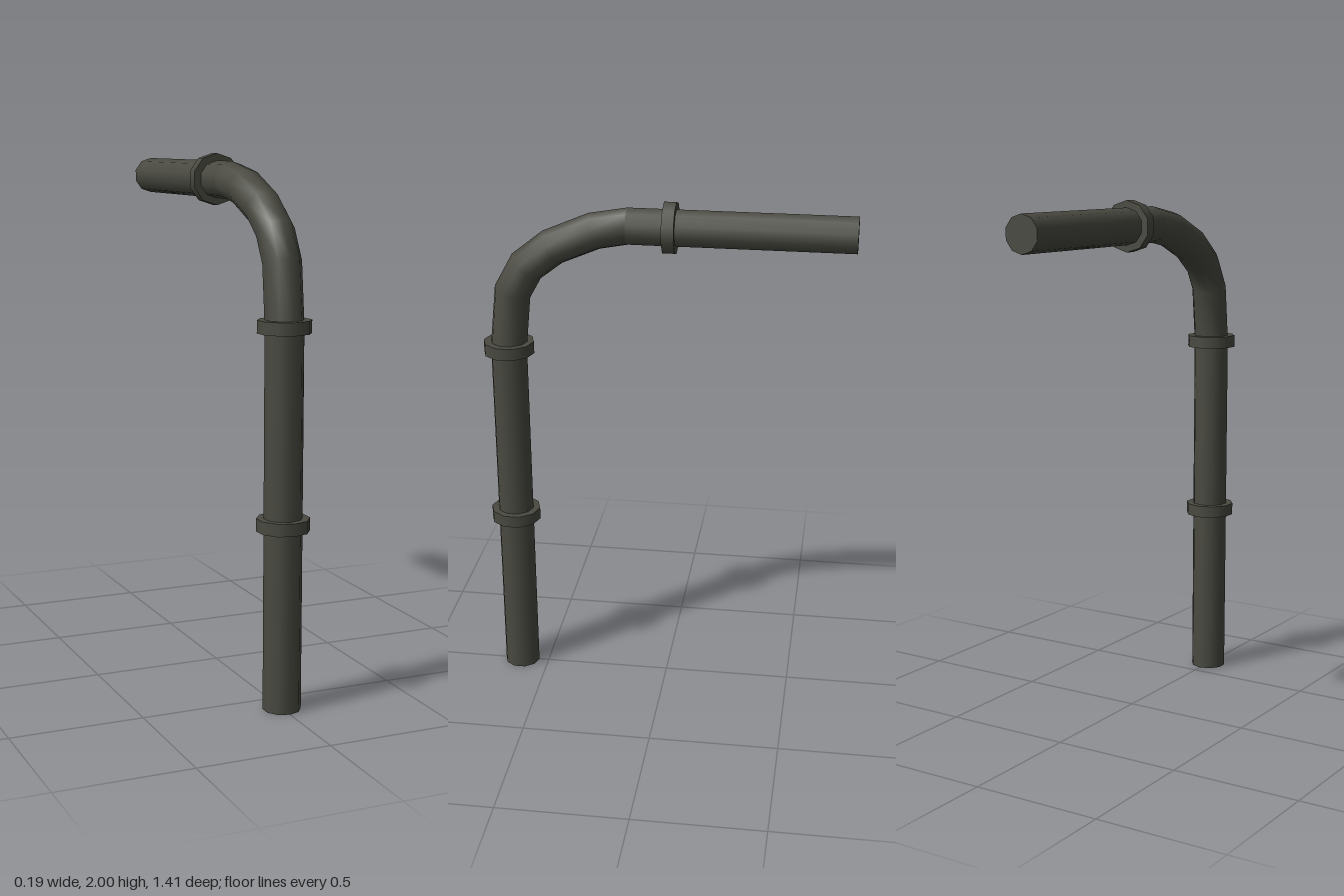
import * as THREE from 'three';

const SIDES = 10;
const PIPE_R = 0.0705;
const COLLAR_R = 0.098;
const PIPE_Z = 0.61; // upright axis
const PIPE_Y = 1.903; // horizontal axis

// Ten-sided round part, standing upright or lying along z
function round(name, radius, length, y, z, lying, material) {
  const mesh = new THREE.Mesh(new THREE.CylinderGeometry(radius, radius, length, SIDES), material);
  mesh.name = name;
  mesh.position.set(0, y, z);
  if (lying) mesh.rotation.x = Math.PI / 2;
  return mesh;
}

// Elbow: rings swept along a path in the y-z plane
function elbowGeometry(path) {
  const pos = [], index = [];
  path.forEach(([y, z], i) => {
    const dir = new THREE.Vector2();
    if (i === 0) dir.set(1, 0);
    else if (i === path.length - 1) dir.set(0, -1);
    else {
      const [y0, z0] = path[i - 1], [y1, z1] = path[i + 1];
      dir.add(new THREE.Vector2(y - y0, z - z0).normalize());
      dir.add(new THREE.Vector2(y1 - y, z1 - z).normalize()).normalize();
    }
    for (let j = 0; j < SIDES; j++) {
      const a = (j / SIDES) * Math.PI * 2;
      const out = Math.cos(a) * PIPE_R;
      pos.push(Math.sin(a) * PIPE_R, y - dir.y * out, z + dir.x * out);
      if (i === path.length - 1) continue;
      const p = i * SIDES + j, q = i * SIDES + (j + 1) % SIDES;
      index.push(p, q, p + SIDES, q, q + SIDES, p + SIDES);
    }
  });
  const geo = new THREE.BufferGeometry();
  geo.setAttribute('position', new THREE.Float32BufferAttribute(pos, 3));
  geo.setIndex(index);
  geo.computeVertexNormals();
  return geo;
}

export function createModel() {
  const group = new THREE.Group();
  group.name = 'bentPipe';
  const metal = new THREE.MeshStandardMaterial({ color: 0x4a4a42 });
  metal.name = 'dark metal';

  // Straight runs
  group.add(round('uprightPipe', PIPE_R, 1.41, 0.705, PIPE_Z, false, metal));
  group.add(round('horizontalPipe', PIPE_R, 0.845, PIPE_Y, -0.2775, true, metal));

  // Curved run, as [y, z] centres
  const elbow = new THREE.Mesh(elbowGeometry([
    [1.41, PIPE_Z], [1.63, 0.587], [1.733, 0.53], [1.812, 0.429], [1.88, 0.27], [PIPE_Y, 0.145],
  ]), metal);
  elbow.name = 'elbow';
  group.add(elbow);

  // Joint collars
  group.add(round('lowerCollar', COLLAR_R, 0.047, 0.693, PIPE_Z, false, metal));
  group.add(round('upperCollar', COLLAR_R, 0.047, 1.407, PIPE_Z, false, metal));
  group.add(round('horizontalCollar', COLLAR_R, 0.046, PIPE_Y, -0.014, true, metal));
  return group;
}
